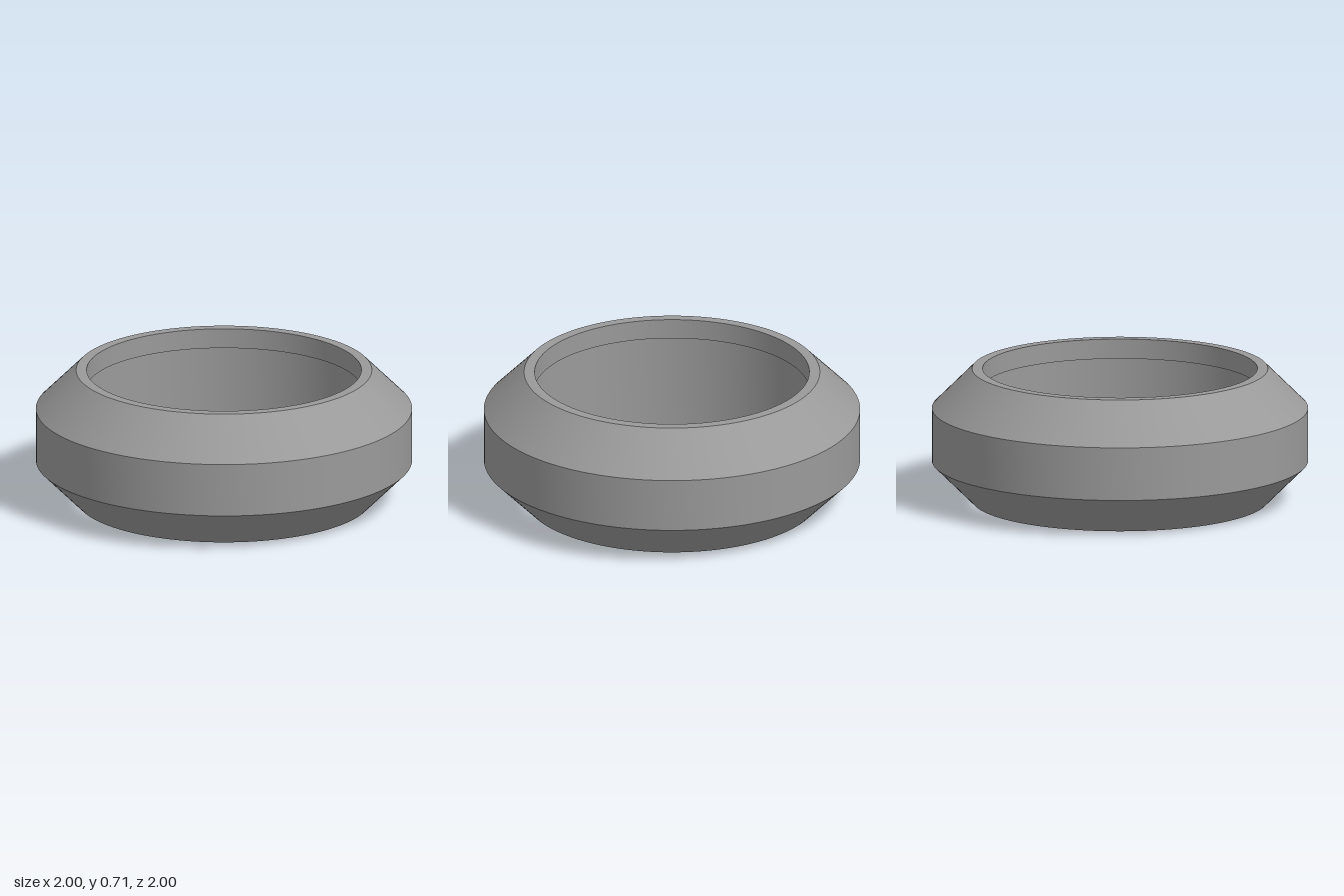
import * as THREE from 'three';
import { toCreasedNormals } from 'three/addons/utils/BufferGeometryUtils.js';

export function createModel() {
  const group = new THREE.Group();
  group.name = 'bevelledRing';

  const grey = new THREE.MeshStandardMaterial({ color: 0x9a9a9a });
  grey.name = 'grey';

  // Dimensions
  const outer = 1, bore = 0.786, lip = 0.73;
  const height = 0.714, bevel = 0.214, lipDepth = 0.107;

  // Closed cross-section: up the bevelled outside, over the rim, down the stepped bore
  const profile = [
    [bore, 0],
    [outer, bevel],
    [outer, height - bevel],
    [bore, height],
    [lip, height],
    [lip, height - lipDepth],
    [bore, height - lipDepth],
    [bore, 0],
  ].map(([r, y]) => new THREE.Vector2(r, y));

  // Smooth around the ring, sharp at the profile corners
  const geometry = toCreasedNormals(new THREE.LatheGeometry(profile, 128), Math.PI / 6);
  const ring = new THREE.Mesh(geometry, grey);
  ring.name = 'ring';
  group.add(ring);

  return group;
}
